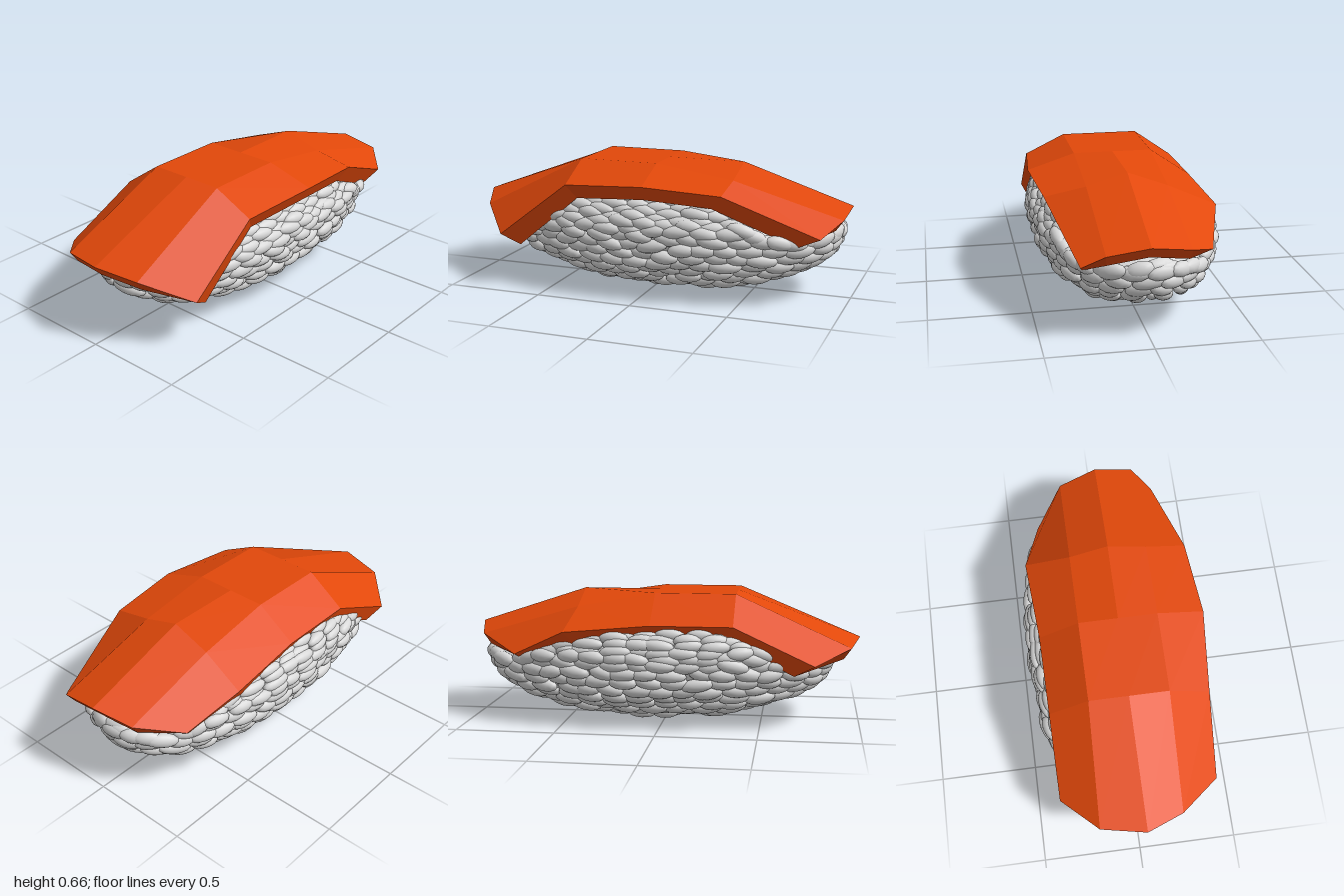
import * as THREE from 'three';
import { mergeGeometries } from 'three/addons/utils/BufferGeometryUtils.js';

const RX = 0.425, RZ = 0.885, CY = 0.345, CZ = -0.04, LOW = 0.31, HIGH = 0.2;

function seeded(seed) {
  return () => {
    seed = (seed * 16807) % 2147483647;
    return seed / 2147483647;
  };
}

// Underside of the fish, used to keep the rice below it
function roof(x, z) {
  const d = Math.max(0, Math.abs(z) - 0.35);
  return 0.59 - 0.35 * d - 0.5 * x * x - (z > 0 ? 3 : 1.6) * d * x * x;
}

// Surface of the rice bed: elevation e, azimuth a, scale k
function ricePoint(e, a, k = 1) {
  const sq = (v) => Math.sign(v) * Math.pow(Math.abs(v), 0.88);
  const s = Math.pow(Math.max(0, Math.cos(e)), e > 0 ? 0.6 : 0.95) * k;
  const x = RX * s * sq(Math.cos(a));
  const z = CZ + RZ * s * sq(Math.sin(a));
  const y = CY + Math.sin(e) * (e > 0 ? HIGH : LOW) * k;
  return new THREE.Vector3(x, Math.min(y, roof(x, z) - 0.035), z);
}

function riceCore(material) {
  const geo = new THREE.SphereGeometry(1, 40, 24);
  const p = geo.attributes.position;
  for (let i = 0; i < p.count; i++) {
    const e = Math.asin(THREE.MathUtils.clamp(p.getY(i), -1, 1));
    const v = ricePoint(e, Math.atan2(p.getZ(i), p.getX(i)), 0.98);
    p.setXYZ(i, v.x, v.y, v.z);
  }
  geo.computeVertexNormals();
  const mesh = new THREE.Mesh(geo, material);
  mesh.name = 'riceCore';
  return mesh;
}

// Overlapping grains laid in rings around the bed
function riceGrains(material) {
  const rand = seeded(71);
  const jitter = (r) => (rand() - 0.5) * 2 * r;
  const base = new THREE.SphereGeometry(1, 12, 8);
  const grains = [];
  const m = new THREE.Matrix4();
  for (let row = 0; row < 17; row++) {
    const e = THREE.MathUtils.degToRad(-86 + row * 8.4);
    const level = CY + Math.sin(e) * (e > 0 ? HIGH : LOW);
    const pts = [];
    for (let i = 0; i < 72; i++) pts.push(ricePoint(e, (i / 72) * Math.PI * 2));
    const ring = new THREE.CatmullRomCurve3(pts, true);
    const count = Math.max(3, Math.round(ring.getLength() / 0.122));
    for (let i = 0; i < count; i++) {
      const u = (i + (row % 2) * 0.5 + jitter(0.2) + 1) / count % 1;
      const pos = ring.getPointAt(u);
      // No grains where the fish presses the rice flat
      if (level - pos.y > 0.04) continue;
      const h = pos.y > CY ? HIGH : LOW;
      const n = new THREE.Vector3(
        pos.x / RX ** 2, (pos.y - CY) / h ** 2, (pos.z - CZ) / RZ ** 2).normalize();
      // Grains underneath lie lengthwise, the others follow the ring
      const t = ring.getTangentAt(u);
      if (t.z < 0) t.negate();
      t.lerp(new THREE.Vector3(0, 0, 1), Math.max(0, -n.y) ** 2);
      t.y += jitter(0.2);
      t.addScaledVector(n, -t.dot(n)).normalize();
      const b = new THREE.Vector3().crossVectors(t, n);
      const len = 0.078 + jitter(0.008);
      const wide = 0.034 + 0.006 * Math.abs(n.z);
      pos.addScaledVector(n, jitter(0.012));
      pos.addScaledVector(b, jitter(0.006));
      m.makeBasis(t, n, b).scale(new THREE.Vector3(len, 0.034, wide)).setPosition(pos);
      grains.push(base.clone().applyMatrix4(m));
    }
  }
  const mesh = new THREE.Mesh(mergeGeometries(grains), material);
  mesh.name = 'riceGrains';
  return mesh;
}

// Faceted slab draped over the rice: rows run front to back
function fishSlice(material) {
  const top = [
    [[-0.38, 0.34, 0.77], [-0.2, 0.405, 0.95], [0.03, 0.43, 1], [0.22, 0.385, 0.92], [0.425, 0.28, 0.745]],
    [[-0.38, 0.525, 0.37], [-0.18, 0.665, 0.37], [0.02, 0.665, 0.37], [0.22, 0.665, 0.37], [0.425, 0.565, 0.37]],
    [[-0.385, 0.525, -0.04], [-0.18, 0.665, -0.04], [0.02, 0.665, -0.04], [0.22, 0.665, -0.04], [0.46, 0.59, -0.05]],
    [[-0.415, 0.49, -0.47], [-0.18, 0.59, -0.44], [0.02, 0.665, -0.44], [0.22, 0.605, -0.44], [0.425, 0.565, -0.44]],
    [[-0.33, 0.36, -0.74], [-0.18, 0.44, -0.945], [0.02, 0.48, -1], [0.22, 0.45, -0.99], [0.32, 0.37, -0.9]],
  ];
  const bottom = top.map((row, r) => row.map(([x, y, z], c) => {
    const side = c === 0 || c === 4;
    const end = r === 0 || r === 4;
    return [x * (side ? 0.92 : 0.97), y - (end ? 0.055 : 0.07), z * (side ? 0.87 : 0.96)];
  }));
  const verts = [];
  const normals = [];
  // One even facet per quad
  const quad = (...corners) => {
    const [a, b, c, d] = corners.map((p) => new THREE.Vector3(...p));
    const n = c.clone().sub(a).cross(d.clone().sub(b)).normalize();
    for (const p of [a, b, c, a, c, d]) {
      verts.push(...p.toArray());
      normals.push(...n.toArray());
    }
  };
  for (let r = 0; r < 4; r++) {
    for (let c = 0; c < 4; c++) {
      quad(top[r][c], top[r][c + 1], top[r + 1][c + 1], top[r + 1][c]);
      quad(bottom[r][c], bottom[r + 1][c], bottom[r + 1][c + 1], bottom[r][c + 1]);
    }
  }
  // Cut edge around the rim
  const rim = [];
  for (let i = 0; i < 4; i++) rim.push([0, i]);
  for (let i = 0; i < 4; i++) rim.push([i, 4]);
  for (let i = 4; i > 0; i--) rim.push([4, i]);
  for (let i = 4; i > 0; i--) rim.push([i, 0]);
  rim.forEach(([r, c], i) => {
    const [r2, c2] = rim[(i + 1) % rim.length];
    quad(bottom[r][c], bottom[r2][c2], top[r2][c2], top[r][c]);
  });
  const geo = new THREE.BufferGeometry();
  geo.setAttribute('position', new THREE.Float32BufferAttribute(verts, 3));
  geo.setAttribute('normal', new THREE.Float32BufferAttribute(normals, 3));
  const mesh = new THREE.Mesh(geo, material);
  mesh.name = 'fishSlice';
  return mesh;
}

export function createModel() {
  const rice = new THREE.MeshStandardMaterial({ color: 0xd8d8d8 });
  rice.name = 'rice white';
  const fish = new THREE.MeshStandardMaterial({ color: 0xe2480a });
  fish.name = 'fish orange';
  const group = new THREE.Group();
  group.name = 'sushi';
  group.add(riceCore(rice), riceGrains(rice), fishSlice(fish));
  return group;
}
